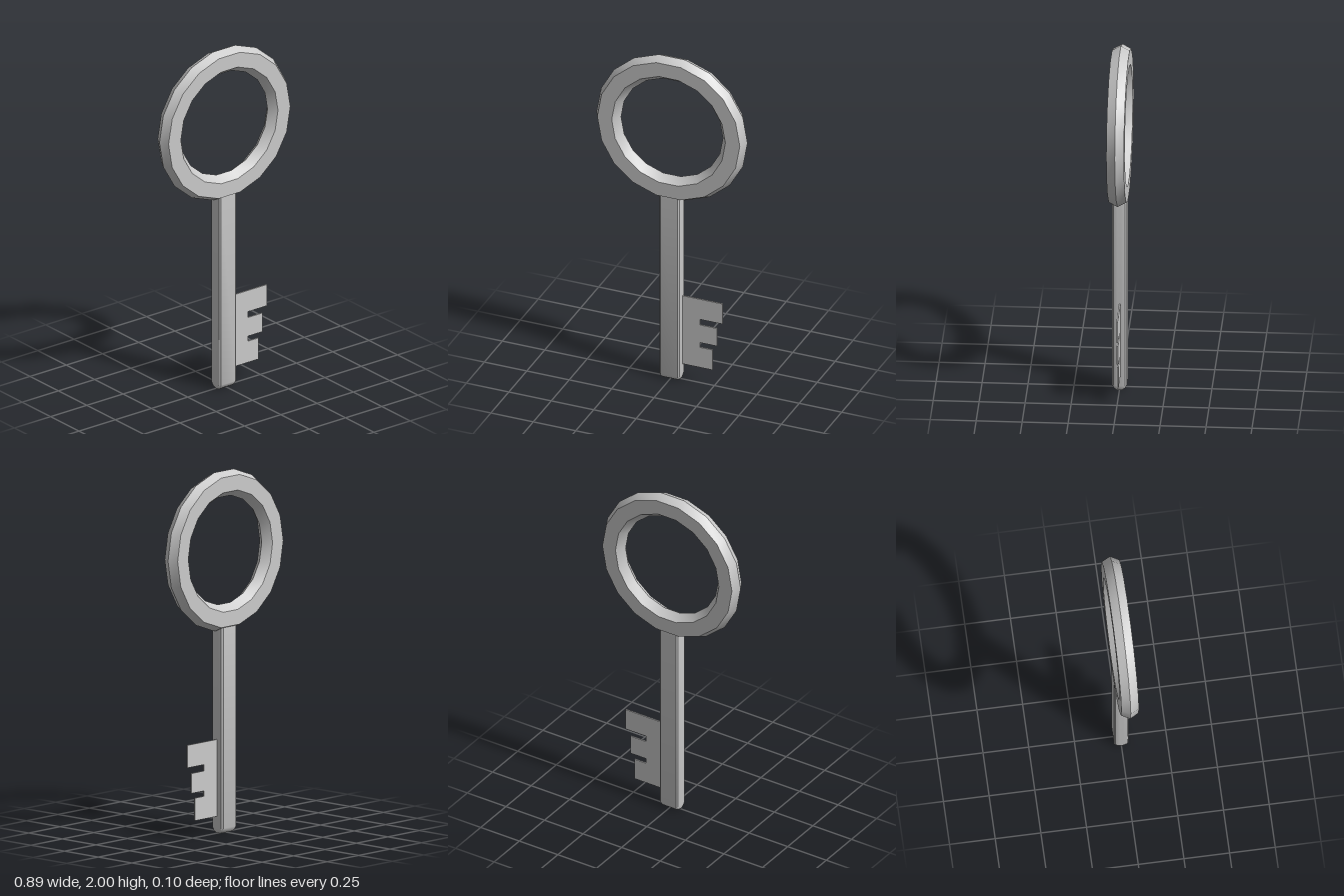
import * as THREE from 'three';
import { toCreasedNormals } from 'three/addons/utils/BufferGeometryUtils.js';
import { ConvexGeometry } from 'three/addons/geometries/ConvexGeometry.js';

const vec2 = ([x, y]) => new THREE.Vector2(x, y);

export function createModel() {
  const key = new THREE.Group();
  key.name = 'key';
  const material = new THREE.MeshStandardMaterial({ color: 0xcccccc });

  const add = (name, geometry) => {
    const mesh = new THREE.Mesh(toCreasedNormals(geometry, Math.PI / 6), material);
    mesh.name = name;
    key.add(mesh);
    return mesh;
  };

  // Bow: 18-sided ring with a six-sided section, ridged inside and out
  const section = [[0.445, 0], [0.42, 0.048], [0.335, 0.048], [0.3, 0],
    [0.335, -0.048], [0.42, -0.048], [0.445, 0]].map(vec2);
  const bow = new THREE.LatheGeometry(section, 18, Math.PI / 2);
  bow.rotateX(Math.PI / 2);
  add('bow', bow).position.y = 1.562;

  // Shaft: flat bar with bevelled long edges and a tapered tip
  const corners = [[0.05, 0.04], [0.059, 0.032], [0.064, 0.01]];
  const levels = [[0.005, 0.82, 0.45], [0.015, 0.93, 0.75], [0.035, 1, 1], [1.148, 1, 1]];
  const points = [];
  for (const [y, scaleX, scaleZ] of levels)
    for (const [x, z] of corners)
      for (const sx of [-1, 1])
        for (const sz of [-1, 1])
          points.push(new THREE.Vector3(sx * x * scaleX - 0.002, y, sz * z * scaleZ));
  add('shaft', new ConvexGeometry(points));

  // Bit: thin notched plate with three teeth, rooted inside the shaft
  const outline = [[0.03, 0.1], [0.238, 0.1], [0.238, 0.225], [0.165, 0.225],
    [0.165, 0.255], [0.265, 0.255], [0.265, 0.365], [0.165, 0.365],
    [0.165, 0.4], [0.297, 0.4], [0.297, 0.525], [0.03, 0.525]].map(vec2);
  const bit = new THREE.ExtrudeGeometry(new THREE.Shape(outline), { depth: 0.008, bevelEnabled: false });
  add('bit', bit).position.z = -0.007;

  return key;
}
